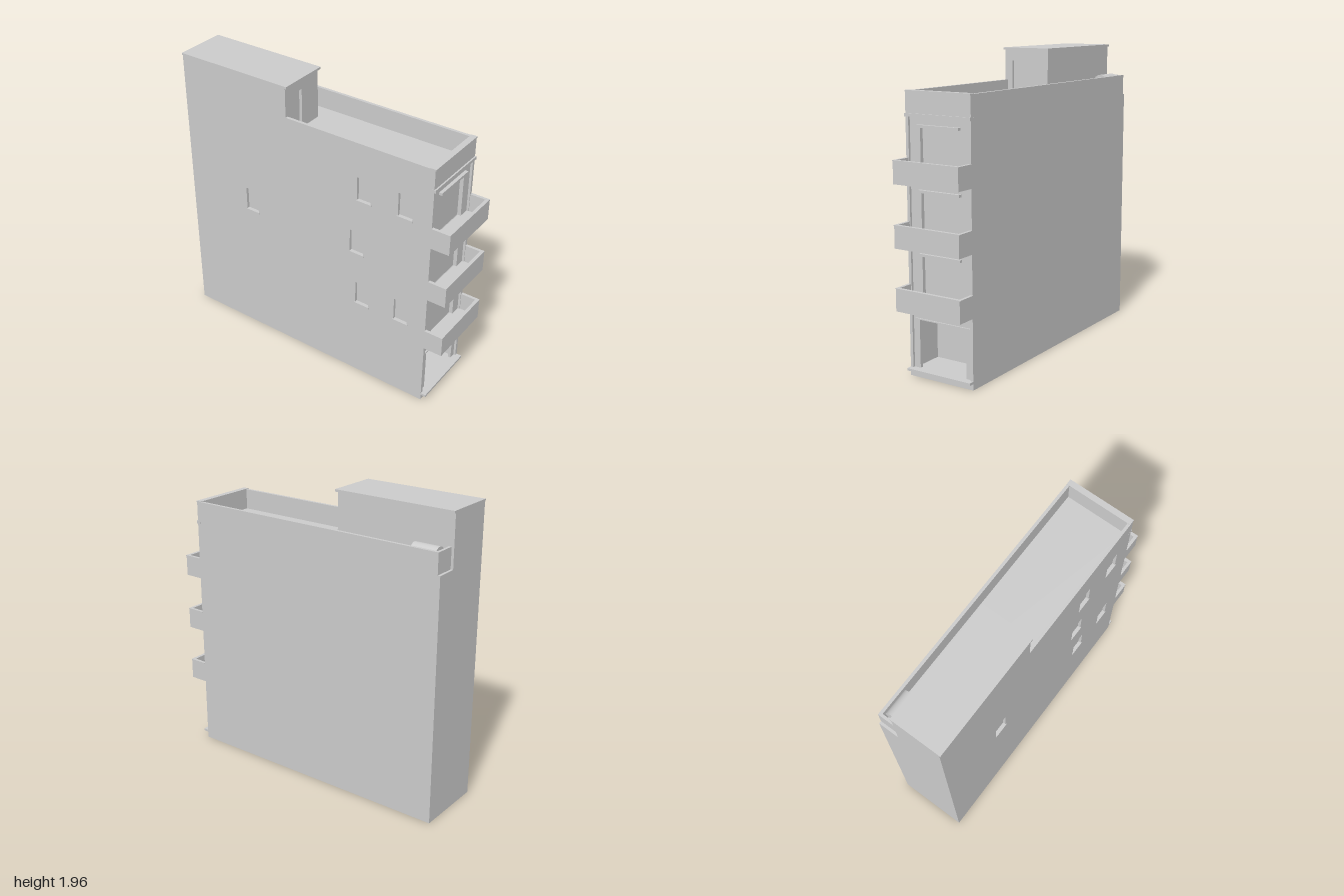
import * as THREE from 'three';

const grey = new THREE.MeshStandardMaterial({ color: 0xcccccc, side: THREE.DoubleSide });

export function createModel() {
  const model = new THREE.Group();
  model.name = 'townhouse';

  function add(name, geometry) {
    const mesh = new THREE.Mesh(geometry, grey);
    mesh.name = name;
    model.add(mesh);
    return mesh;
  }
  // Box given by its limits on each axis
  function box(name, x0, x1, y0, y1, z0, z1) {
    const mesh = add(name, new THREE.BoxGeometry(x1 - x0, y1 - y0, z1 - z0));
    mesh.position.set((x0 + x1) / 2, (y0 + y1) / 2, (z0 + z1) / 2);
    return mesh;
  }
  // Upright panel with rectangular holes, each [u0, u1, v0, v1]
  function panel(name, [u0, u1, v0, v1], depth, holes) {
    const rect = (T, a, b, c, d) => {
      const s = new T();
      s.moveTo(a, c).lineTo(b, c).lineTo(b, d).lineTo(a, d).closePath();
      return s;
    };
    const shape = rect(THREE.Shape, u0, u1, v0, v1);
    holes.forEach(h => shape.holes.push(rect(THREE.Path, ...h)));
    return add(name, new THREE.ExtrudeGeometry(shape, { depth, bevelEnabled: false }));
  }

  const W = 0.235, T = 0.02, IN = W - T;
  const ROOF = 1.61, TOP = 1.745, FRONT = 0.875, FACE = 0.86;

  // Side, back and roof shell, open underneath
  box('rightWall', IN, W, 0, ROOF, -1, FRONT);
  box('rightParapet', IN, W, ROOF, TOP, -0.983, FRONT);
  box('backWall', -IN, IN, 0, ROOF, -1, -0.98);
  box('backParapet', 0.095, IN, ROOF, TOP, -0.983, -0.965);
  box('roofSlab', -IN, IN, ROOF - T, ROOF, -0.98, 0.84);

  // Left wall with small windows at [z, y]
  const windows = [[-0.477, 1.035], [0.352, 1.035], [0.4, 1.43], [0.692, 1.43], [0.4, 0.646], [0.692, 0.646]];
  const hw = 0.05, hh = 0.082;
  const leftWall = panel('leftWall', [-1, FRONT, 0, TOP], T,
    windows.map(([z, y]) => [z - hw, z + hw, y - hh, y + hh]));
  leftWall.rotation.y = -Math.PI / 2;
  leftWall.position.x = -IN;
  windows.forEach(([z, y]) => {
    box('sideWindowPane', -IN, -IN + 0.005, y - hh, y + hh, z - hw, z + hw);
    box('sideWindowSill', -0.24, -IN, y - hh - 0.008, y - hh + 0.004, z - hw - 0.005, z + hw + 0.005);
  });

  // Recessed facade with a shop opening and three balcony doors
  const floors = [0.44, 0.825, 1.21];
  const doorX = [-0.14, 0.145];
  const facade = panel('facade', [-IN, IN, 0.0, ROOF], T, [
    [-0.17, 0.175, 0.055, 0.365],
    ...floors.map(y => [...doorX, y + 0.02, y + 0.325]),
  ]);
  facade.position.z = FACE - T;
  box('frontParapet', -IN, IN, ROOF - 0.015, TOP, 0.84, FRONT);
  box('parapetCoping', -W, W, TOP - 0.005, TOP + 0.004, 0.84, 0.88);
  box('cornice', -W - 0.001, W + 0.001, 1.595, 1.615, 0.85, 0.885);

  // Balconies with their doors and lintels
  floors.forEach(y => {
    const rail = y + 0.137;
    box('balconyFloor', -W, W, y, y + T, FACE, 1);
    box('balconyFront', -W, W, y + T, rail, 0.98, 1);
    for (const s of [-1, 1]) {
      const [a, b] = s < 0 ? [-W, -W + 0.015] : [W - 0.015, W];
      box('balconySide', a, b, y + T, rail, FRONT, 0.98);
      const e = s * 0.229;
      box('balconySideCoping', e - 0.01, e + 0.01, rail, y + 0.142, FRONT, 1);
    }
    box('balconyFrontCoping', -0.239, 0.239, rail, y + 0.142, 0.978, 1);
    box('balconyDoor', ...doorX, y + T, y + 0.325, 0.825, 0.835);
    box('doorLintel', -0.15, 0.152, y + 0.325, y + 0.341, FACE - 0.01, 0.882);
  });

  // Shop room behind the ground floor opening
  const RB = 0.65;
  box('shopFloor', -0.2, 0.2, 0.045, 0.055, RB, FACE);
  box('shopCeiling', -0.2, 0.2, 0.365, 0.375, RB, FACE - T);
  box('shopBackWall', -0.2, 0.2, 0.045, 0.375, RB - 0.01, RB);
  for (const s of [-1, 1]) {
    const c = s * 0.205;
    box('shopSideWall', c - 0.005, c + 0.005, 0.045, 0.375, RB, FACE - T);
  }
  box('shopLintel', -0.2, 0.21, 0.365, 0.372, FACE, 0.87);
  box('plinth', -IN, IN, 0, 0.04, FACE, FRONT);
  box('frontStep', -W, W, 0.04, 0.055, FACE, 0.91);

  // Rooftop stair house with a recessed door
  const px = 0.095, pz = -0.18, PT = 1.942;
  box('stairHouseLeft', -W, -IN, TOP, PT, -1, pz);
  box('stairHouseRight', px - T, px, ROOF, PT, -1, pz);
  box('stairHouseBack', -IN, px - T, ROOF, PT, -1, -0.98);
  const stairFront = panel('stairHouseFront', [-IN, px - T, ROOF, PT], T, [[-0.18, -0.07, ROOF + 0.005, 1.873]]);
  stairFront.position.z = pz - T;
  box('stairHouseDoor', -0.18, -0.07, ROOF, 1.873, pz - 0.03, pz - T);
  box('stairHouseRoof', -0.242, 0.106, PT, 1.957, -1, -0.165);

  // Water tank on two cradles behind the stair house
  const tank = add('waterTank', new THREE.CylinderGeometry(0.053, 0.053, 0.17, 32));
  tank.rotation.x = Math.PI / 2;
  tank.position.set(0.161, 1.702, -0.862);
  for (const z of [-0.91, -0.815]) box('tankCradle', 0.125, 0.197, ROOF, 1.665, z - 0.01, z + 0.01);

  return model;
}
